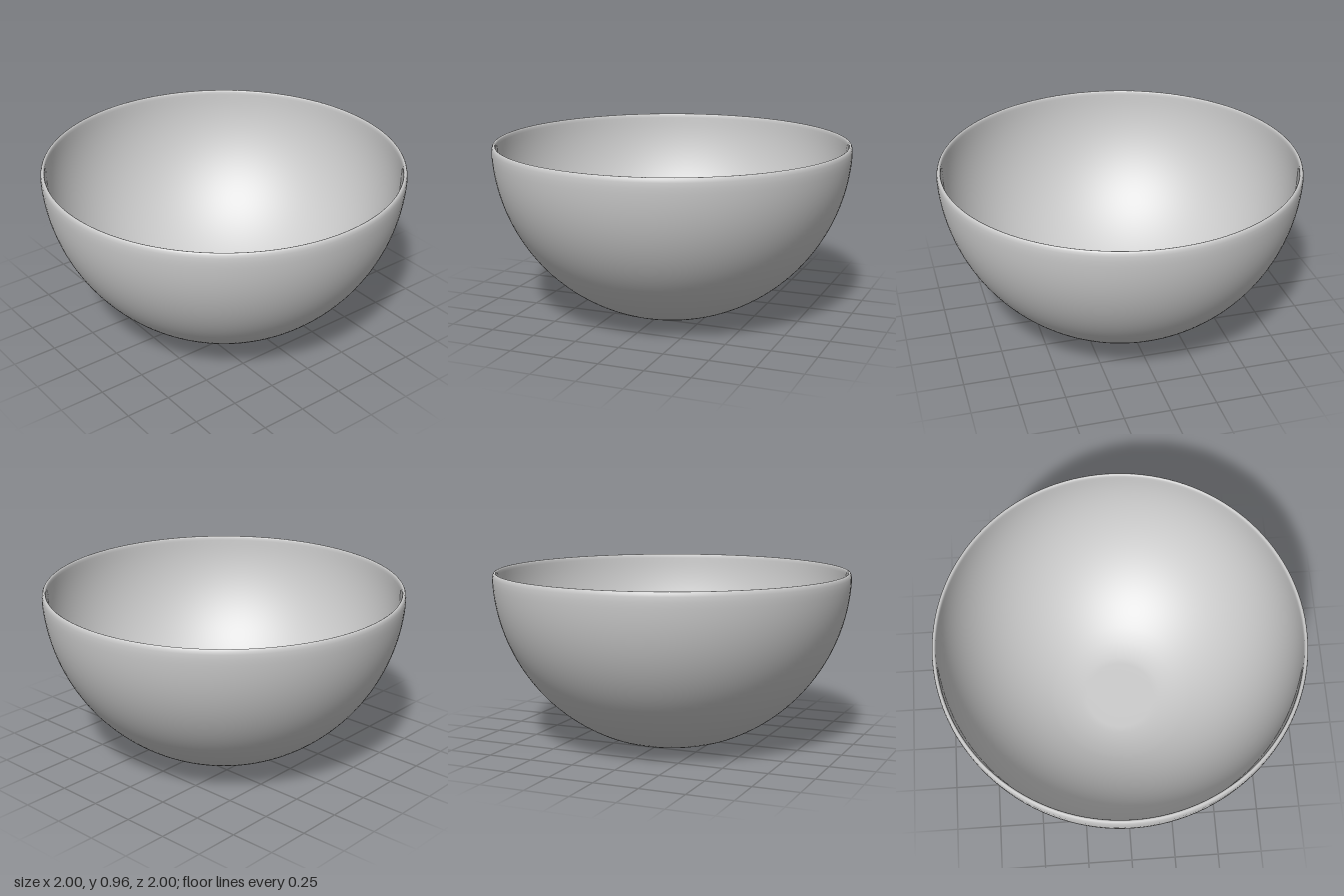
import * as THREE from 'three';

const CENTRE_Y = 0.965;

// Points along a circular wall, by angle from straight down (degrees)
function wallArc(radius, from, to, steps) {
  const points = [];
  for (let i = 0; i <= steps; i++) {
    const a = THREE.MathUtils.degToRad(from + ((to - from) * i) / steps);
    points.push(new THREE.Vector2(radius * Math.sin(a), CENTRE_Y - radius * Math.cos(a)));
  }
  return points;
}

const toPoints = (pairs) => pairs.map(([r, y]) => new THREE.Vector2(r, y));

export function createModel() {
  const group = new THREE.Group();
  group.name = 'bowl';

  // Closed section: flat foot, outer wall, rounded rim, inner wall, flat floor
  const profile = [
    ...toPoints([[0, 0], [0.1, 0], [0.2, 0], [0.25, 0.004], [0.3, 0.014], [0.35, 0.029]]),
    ...wallArc(1, 23.5, 87, 36),
    ...toPoints([[0.998, 0.94], [0.995, 0.955], [0.99, 0.963], [0.985, 0.965], [0.98, 0.963], [0.976, 0.955], [0.975, 0.94]]),
    ...wallArc(0.975, 87, 23.5, 36),
    ...toPoints([[0.34, 0.052], [0.29, 0.038], [0.24, 0.028], [0.2, 0.025], [0.1, 0.025], [0, 0.025]]),
  ];

  const shell = new THREE.Mesh(
    new THREE.LatheGeometry(profile, 128),
    new THREE.MeshStandardMaterial({ color: 0xcccccc })
  );
  shell.name = 'bowlShell';
  group.add(shell);
  return group;
}
